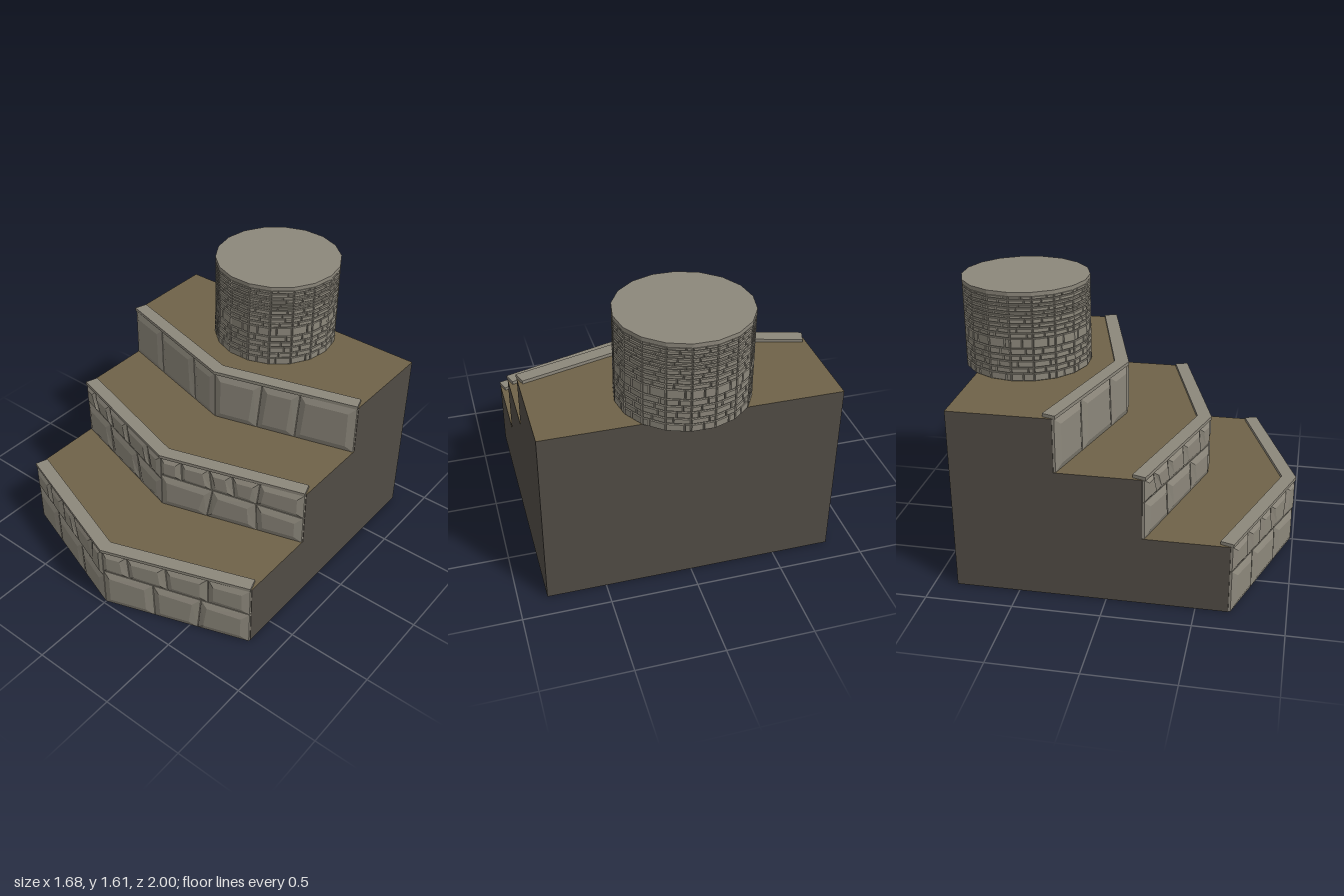
import * as THREE from 'three';

const stone = new THREE.MeshStandardMaterial({ color: 0x8c877b, flatShading: true });
stone.name = 'stone';
const earth = new THREE.MeshStandardMaterial({ color: 0x6f6248, side: THREE.DoubleSide });
earth.name = 'earth';
const plaster = new THREE.MeshStandardMaterial({ color: 0x504b44, side: THREE.DoubleSide, flatShading: true });
plaster.name = 'dark plaster';

const HALF = 0.838, BACK = -0.867;

// Each tier: heights, apex z, side z, and per half the rows of stones.
// A row is [bottom at left, bottom at right, top at left, top at right, joints [topX, bottomX]].
const TIERS = [
  { y0: 0, y1: 0.41, apex: 1.0, side: 0.70,
    left: [
      [0, 0, 0.257, 0.215, [[-0.575, -0.57], [-0.27, -0.26]]],
      [0.257, 0.215, 0.41, 0.41, [[-0.65, -0.64], [-0.485, -0.485], [-0.345, -0.315], [-0.115, -0.14]]]],
    right: [
      [0, 0, 0.255, 0.22, [[0.29, 0.295], [0.565, 0.545]]],
      [0.255, 0.22, 0.41, 0.41, [[0.145, 0.155], [0.365, 0.375], [0.605, 0.605]]]] },
  { y0: 0.41, y1: 0.768, apex: 0.48, side: 0.22,
    left: [
      [0.41, 0.41, 0.635, 0.6, [[-0.57, -0.55], [-0.265, -0.24]]],
      [0.635, 0.6, 0.768, 0.768, [[-0.735, -0.7], [-0.565, -0.54], [-0.37, -0.35], [-0.145, -0.12]]]],
    right: [
      [0.41, 0.41, 0.635, 0.595, [[0.31, 0.275], [0.565, 0.575]]],
      [0.635, 0.595, 0.768, 0.768, [[0.125, 0.125], [0.29, 0.305], [0.425, 0.44], [0.585, 0.57]]]] },
  { y0: 0.768, y1: 1.083, apex: -0.02, side: -0.262,
    left: [[0.768, 0.768, 1.083, 1.083, [[-0.55, -0.545], [-0.215, -0.2]]]],
    right: [[0.768, 0.768, 1.083, 1.083, [[0.285, 0.26], [0.51, 0.49]]]] },
];

function part(name, geometry, material, parent) {
  const mesh = new THREE.Mesh(geometry, material);
  mesh.name = name;
  parent.add(mesh);
  return mesh;
}

function geometryFrom(positions) {
  const g = new THREE.BufferGeometry();
  g.setAttribute('position', new THREE.Float32BufferAttribute(positions, 3));
  g.computeVertexNormals();
  return g;
}

function pushQuad(out, a, b, c, d) {
  out.push(...a, ...b, ...c, ...a, ...c, ...d);
}

// Bevelled block on a surface; corners run bottom left, bottom right, top right, top left.
function pushBlock(out, corners, gap, bevel, lip, depth, map) {
  const ring = (inset, d) => corners.map(([u, v], i) =>
    map(u + (i === 0 || i === 3 ? inset : -inset), v + (i < 2 ? inset : -inset), d));
  const rings = [ring(gap, 0), ring(gap, lip), ring(gap + bevel, depth)];
  for (let k = 0; k < 2; k++) {
    for (let i = 0; i < 4; i++) {
      const j = (i + 1) % 4;
      pushQuad(out, rings[k][i], rings[k][j], rings[k + 1][j], rings[k + 1][i]);
    }
  }
  pushQuad(out, ...rings[2]);
}

// Flat outline from [x, z] points, to be laid down with rotateX
function planShape(points) {
  return new THREE.Shape(points.map(([x, z]) => new THREE.Vector2(x, -z)));
}

function createTier(t, index) {
  const group = new THREE.Group();
  group.name = `terrace${index + 1}`;
  const apex = t.apex - 0.028, side = t.side - 0.018;
  const plan = [[-HALF, BACK], [-HALF, side], [0, apex], [HALF, side], [HALF, BACK]];

  // Hollow body walls
  const walls = [];
  plan.forEach(([x, z], i) => {
    const [x2, z2] = plan[(i + 1) % plan.length];
    pushQuad(walls, [x, t.y0, z], [x2, t.y0, z2], [x2, t.y1, z2], [x, t.y1, z]);
  });
  part('bodyWalls', geometryFrom(walls), plaster, group);

  // Earth bed
  const bed = new THREE.ShapeGeometry(planShape(plan));
  bed.rotateX(-Math.PI / 2);
  part('earthBed', bed, earth, group).position.y = t.y1;

  // Facing stones on both halves of the angled front
  const slope = (apex - side) / HALF;
  const map = (x, y, d) => [x, y, apex - slope * Math.abs(x) + d];
  const blocks = [];
  for (const [rows, x0, x1] of [[t.left, -HALF, 0], [t.right, 0, HALF]]) {
    for (const [b0, b1, t0, t1, joints] of rows) {
      const low = x => b0 + (b1 - b0) * (x - x0) / (x1 - x0);
      const high = x => t0 + (t1 - t0) * (x - x0) / (x1 - x0);
      const edges = [[x0, x0], ...joints, [x1, x1]];
      for (let i = 0; i < edges.length - 1; i++) {
        const [tl, bl] = edges[i], [tr, br] = edges[i + 1];
        const bevel = Math.min(0.04, (tr - tl) * 0.22, (high(tl) - low(bl)) * 0.2);
        pushBlock(blocks, [[bl, low(bl)], [br, low(br)], [tr, high(tr)], [tl, high(tl)]],
          0.002, bevel, 0.012, 0.028, map);
      }
    }
  }
  part('facingStones', geometryFrom(blocks), stone, group);

  // Coping strip along the front edge
  const a = t.apex - 0.004, s = t.side;
  const coping = new THREE.ExtrudeGeometry(planShape([
    [-0.84, s], [0, a], [0.84, s], [0.815, s - 0.075], [0, a - 0.085], [-0.815, s - 0.075],
  ]), { depth: 0.02, bevelEnabled: false });
  coping.rotateX(-Math.PI / 2);
  part('coping', coping, stone, group).position.y = t.y1 - 0.001;
  return group;
}

function createTower() {
  const group = new THREE.Group();
  group.name = 'roundTower';
  group.position.z = -0.631;
  const SIDES = 18, R = 0.364, step = Math.PI * 2 / SIDES;
  const apothem = R * Math.cos(step / 2), half = R * Math.sin(step / 2) + 0.001;

  const core = new THREE.CylinderGeometry(R, R, 0.51, SIDES);
  core.rotateY(step / 2);
  part('towerCore', core, stone, group).position.y = 1.081 + 0.255;

  // Brick courses, two bricks per facet with shifting joints
  const levels = [1.083, 1.13, 1.165, 1.205, 1.24, 1.28, 1.34, 1.37, 1.4, 1.425, 1.455, 1.475, 1.495, 1.52, 1.54, 1.565, 1.587];
  const shifts = [0.35, -0.4, 0.05, -0.15, 0.5];
  const bricks = [];
  for (let f = 0; f < SIDES; f++) {
    const c = Math.cos(f * step), s = Math.sin(f * step);
    const map = (u, y, d) => [(apothem + d) * s + u * c, y, (apothem + d) * c - u * s];
    for (let r = 0; r < levels.length - 1; r++) {
      const y0 = levels[r], y1 = levels[r + 1];
      const joint = half * shifts[(r * 2 + f * 3) % shifts.length];
      for (const [u0, u1] of [[-half, joint], [joint, half]]) {
        pushBlock(bricks, [[u0, y0], [u1, y0], [u1, y1], [u0, y1]], 0.001, 0.004, 0.006, 0.011, map);
      }
    }
  }
  part('towerBricks', geometryFrom(bricks), stone, group);

  // Flat lid
  const lid = new THREE.CylinderGeometry(0.375, 0.375, 0.024, SIDES);
  lid.rotateY(step / 2);
  part('towerLid', lid, stone, group).position.y = 1.597;
  return group;
}

export function createModel() {
  const model = new THREE.Group();
  model.name = 'terracedWall';
  TIERS.forEach((t, i) => model.add(createTier(t, i)));
  model.add(createTower());
  return model;
}
